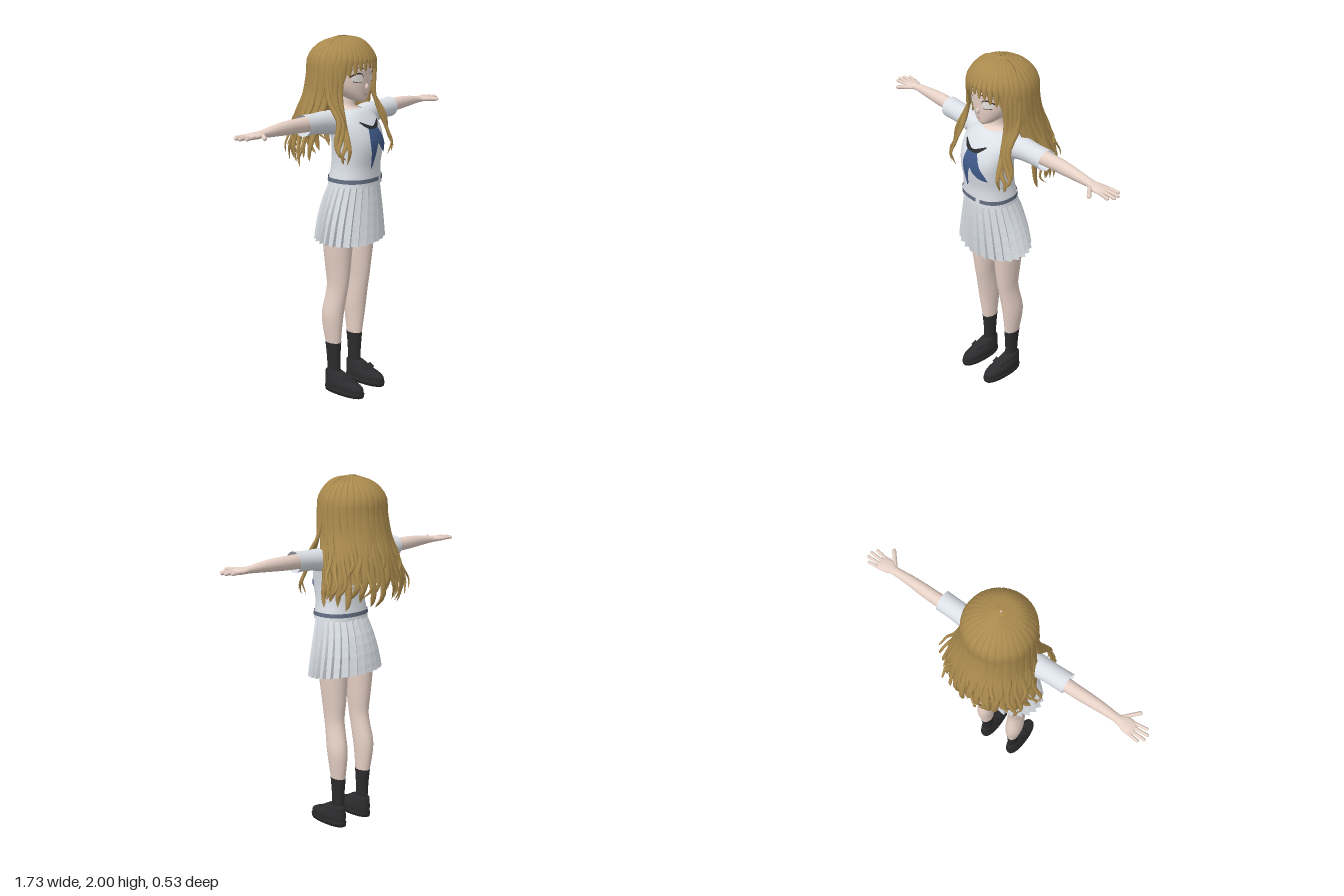
import * as THREE from 'three';
import { mergeGeometries } from 'three/addons/utils/BufferGeometryUtils.js';

const mat = (name, color, extra = {}) =>
  Object.assign(new THREE.MeshStandardMaterial({ color, side: THREE.DoubleSide, ...extra }), { name });
const V = (x, y, z) => new THREE.Vector3(x, y, z);

// Surface over a u/v grid; wrap closes it in u
function grid(nu, nv, f, wrap = false) {
  const pos = [], idx = [], cols = wrap ? nu : nu + 1;
  for (let j = 0; j <= nv; j++) for (let i = 0; i < cols; i++) pos.push(...f(i / nu, j / nv));
  for (let j = 0; j < nv; j++) for (let i = 0; i < nu; i++) {
    const i2 = (i + 1) % cols, a = j * cols + i, b = j * cols + i2;
    idx.push(a, b, b + cols, a, b + cols, a + cols);
  }
  const g = new THREE.BufferGeometry();
  g.setAttribute('position', new THREE.Float32BufferAttribute(pos, 3));
  g.setIndex(idx);
  g.computeVertexNormals();
  return g;
}

// Catmull-Rom through rows of numbers, t in 0..1
function sample(rows, t) {
  const n = rows.length - 1, i = Math.min(n - 1, Math.floor(t * n)), f = t * n - i;
  const at = k => rows[Math.max(0, Math.min(n, k))];
  const [a, b, c, d] = [at(i - 1), at(i), at(i + 1), at(i + 2)];
  return b.map((_, k) => b[k] + 0.5 * f * (c[k] - a[k] +
    f * (2 * a[k] - 5 * b[k] + 4 * c[k] - d[k] + f * (3 * (b[k] - c[k]) + d[k] - a[k]))));
}

// Loft through superellipse rows [y, halfWidth, zFront, zBack, xCentre]
function loft(rows, { steps = 4, p = 2, sides = 28, from = 0, to = Math.PI * 2 } = {}) {
  const bend = s => Math.sign(s) * Math.abs(s) ** (2 / p);
  return grid(sides, (rows.length - 1) * steps, (u, v) => {
    const [y, rx, zf, zb, cx = 0] = sample(rows, v), a = from + u * (to - from);
    return [cx + rx * bend(Math.sin(a)), y, (zf + zb) / 2 + (zf - zb) / 2 * bend(Math.cos(a))];
  }, to - from > 6.28);
}

// Front z of a loft at x, y
function frontZ(rows, p, x, y) {
  let lo = 0, hi = 1;
  for (let k = 0; k < 24; k++) { const m = (lo + hi) / 2; sample(rows, m)[0] < y ? lo = m : hi = m; }
  const [, rx, zf, zb] = sample(rows, lo);
  return (zf + zb) / 2 + (zf - zb) / 2 * Math.max(0, 1 - Math.abs(x / rx) ** p) ** (1 / p);
}

// Thin painted shape: rows of edge pairs [x1, y1, x2, y2] laid on a surface
const decal = (rows, zAt, lift) => grid(8, (rows.length - 1) * 4, (u, v) => {
  const [x1, y1, x2, y2] = sample(rows, v), x = x1 + (x2 - x1) * u, y = y1 + (y2 - y1) * u;
  return [x, y, zAt(x, y) + lift];
});

// Tapered flat lock of hair along points
function lock(points, width, thick, wave = 0, phase = 0) {
  const curve = new THREE.CatmullRomCurve3(points), n = 22;
  return grid(6, n, (u, v) => {
    const c = curve.getPoint(v), t = curve.getTangent(v);
    const s = V(c.x, 0.02, c.z - 0.02).normalize().cross(t).normalize(), o = t.clone().cross(s);
    const w = Math.min(1, 0.35 + v * 2.5) * Math.sqrt(Math.max(0, 1 - v ** 3)) + 0.01, a = u * Math.PI * 2;
    c.addScaledVector(s, wave * v * v * Math.sin(v * 13 + phase) + Math.cos(a) * width * w);
    return c.addScaledVector(o, wave * 0.6 * v * v * Math.cos(v * 11 + phase) + Math.sin(a) * thick * w).toArray();
  }, true);
}

function mirrored(g) {
  const m = g.clone().scale(-1, 1, 1), i = m.index.array;
  for (let k = 0; k < i.length; k += 3) [i[k], i[k + 1]] = [i[k + 1], i[k]];
  m.computeVertexNormals();
  return m;
}

export function createModel() {
  const M = {
    skin: mat('skin', 0xe9d3c8), hair: mat('golden hair', 0xab8b4e), shirt: mat('white cloth', 0xe0e5ec),
    skirt: mat('pale grey cloth', 0xd9dee4, { flatShading: true }), blue: mat('scarf blue', 0x3f5988),
    trim: mat('trim grey blue', 0x636e82), black: mat('black', 0x2c2c2e), eye: mat('eye white', 0xf3eeec),
    line: mat('dark brown', 0x4a352c), lips: mat('lip', 0xb57a72),
  };
  const root = new THREE.Group();
  const add = (name, g, m) => { const o = new THREE.Mesh(g, m); o.name = name; root.add(o); };
  const pair = (name, g, m) => { add(name + 'Left', g, m); add(name + 'Right', mirrored(g), m); };

  // Head, nose and neck
  const head = [[1.66, 0.012, 0.16, 0.12], [1.675, 0.045, 0.172, 0.07], [1.71, 0.083, 0.178, 0], [1.75, 0.108, 0.182, -0.05],
    [1.8, 0.122, 0.184, -0.08], [1.86, 0.126, 0.184, -0.09], [1.92, 0.11, 0.155, -0.08], [1.965, 0.06, 0.1, -0.04]];
  const faceZ = (x, y) => frontZ(head, 2.3, x, y);
  add('head', loft(head, { p: 2.3, sides: 36 }), M.skin);
  add('nose', new THREE.SphereGeometry(1, 12, 8).scale(0.009, 0.017, 0.012).translate(0, 1.742, 0.183), M.skin);
  add('neck', loft([[1.58, 0.1, 0.15, -0.01], [1.61, 0.085, 0.13, 0], [1.635, 0.045, 0.1, 0.012], [1.7, 0.04, 0.1, 0.015]]), M.skin);
  pair('ear', new THREE.SphereGeometry(1, 12, 8).scale(0.012, 0.03, 0.02).translate(0.122, 1.755, 0.04), M.skin);

  // Eyes, lashes, brows and mouth
  pair('eye', decal([[0.034, 1.785, 0.034, 1.79], [0.042, 1.772, 0.042, 1.81], [0.075, 1.772, 0.075, 1.813], [0.091, 1.785, 0.091, 1.797]], faceZ, 0.003), M.eye);
  pair('lash', decal([[0.029, 1.792, 0.03, 1.798], [0.045, 1.81, 0.045, 1.817], [0.075, 1.811, 0.075, 1.82], [0.097, 1.793, 0.099, 1.801]], faceZ, 0.005), M.line);
  pair('lowerLash', decal([[0.04, 1.77, 0.04, 1.773], [0.06, 1.767, 0.06, 1.77], [0.084, 1.772, 0.084, 1.776]], faceZ, 0.005), M.line);
  pair('brow', decal([[0.028, 1.836, 0.028, 1.84], [0.06, 1.845, 0.06, 1.85], [0.092, 1.834, 0.092, 1.837]], faceZ, 0.003), M.line);
  add('mouth', decal([[-0.016, 1.702, -0.016, 1.704], [0, 1.697, 0, 1.701], [0.016, 1.702, 0.016, 1.704]], faceZ, 0.003), M.lips);

  // Hair shell rows: [y, halfWidth, depth, zCentre, half opening angle]
  const shell = [[2, 0.005, 0.005, 0.03, 180], [1.985, 0.075, 0.075, 0.03, 180], [1.95, 0.13, 0.13, 0.025, 180], [1.9, 0.167, 0.167, 0.02, 180],
    [1.87, 0.178, 0.178, 0.02, 150], [1.8, 0.184, 0.18, 0.02, 135], [1.72, 0.188, 0.185, 0.01, 122], [1.64, 0.205, 0.192, -0.008, 100],
    [1.55, 0.225, 0.195, -0.035, 82], [1.46, 0.235, 0.185, -0.065, 74]];
  const onShell = (a, v, k = 1) => {
    const [y, rx, rz, cz] = sample(shell, v);
    return V(rx * k * Math.sin(a), y, cz + rz * k * Math.cos(a));
  };
  add('hairShell', grid(72, 36, (u, v) => {
    const t = 1 - v, half = Math.min(180, sample(shell, t)[4]) * Math.PI / 180, a = Math.PI + (2 * u - 1) * half;
    return onShell(a, t, 0.985 + 0.012 * Math.abs(Math.sin(a * 12))).toArray();
  }), M.hair);

  // Long back locks, then loose curled tips
  const back = [], curls = [], fringe = [], sides = [];
  for (let i = 0; i < 19; i++) {
    const p = (i - 9) * 0.205, a = Math.PI + p, low = 1.32 + 0.05 * ((i * 7) % 4) / 3;
    const pts = [0.04, 0.2, 0.38, 0.55, 0.7, 0.84, 0.95].map(v => onShell(a, v, 1.005));
    pts.push(V(0.25 * Math.sin(a), low + 0.07, -0.06 + 0.19 * Math.cos(a)), V(0.255 * Math.sin(a), low, -0.05 + 0.165 * Math.cos(a)));
    back.push(lock(pts, 0.029, 0.011, 0.012, i * 2));
  }
  for (let i = 0; i < 18; i++) {
    const p = (i - 8.5) * 0.2, a = Math.PI + p, low = 1.35 + 0.09 * ((i * 5) % 7) / 6, k = 1 + 0.08 * ((i * 3) % 4) / 3;
    curls.push(lock([onShell(a, 0.5), onShell(a, 0.7, 1.02), onShell(a, 0.85, 1.04),
      V(0.255 * k * Math.sin(a), low + 0.08, -0.06 + 0.18 * k * Math.cos(a)),
      V(0.275 * k * Math.sin(a), low, -0.06 + 0.18 * k * Math.cos(a))], 0.014, 0.008, 0.026, i * 1.7));
  }
  // Fringe and temple locks, longer towards the sides
  for (let i = 0; i < 17; i++) {
    const a = (i - 8) * 0.165, s = Math.abs(a) / 1.32, end = 0.5 + 0.24 * s * s + 0.015 * (i % 2);
    fringe.push(lock([0.03, 0.14, 0.26, 0.38, (0.38 + end) / 2, end].map((v, k) => onShell(a * (k > 3 ? 1.05 : 1), v, 1.02)), 0.021, 0.009));
  }
  // Front locks falling over the chest
  for (let i = 0; i < 4; i++) {
    const d = i * 0.014, a = 0.95 + i * 0.13;
    sides.push(lock([onShell(a, 0.15), onShell(a, 0.35, 1.02), onShell(a, 0.55, 1.02), V(0.155 + d, 1.68, 0.125 - d),
      V(0.16 + d, 1.57, 0.16), V(0.185 + d, 1.47, 0.205 - d), V(0.205 + d, 1.42, 0.215 - d), V(0.18 + d * 1.5, 1.35 + d, 0.2)],
    0.016, 0.009, 0.016, i * 1.9));
  }
  add('backHair', mergeGeometries(back), M.hair);
  add('hairCurls', mergeGeometries(curls), M.hair);
  add('fringe', mergeGeometries(fringe), M.hair);
  pair('frontLocks', mergeGeometries(sides), M.hair);

  // Shirt, sleeves and waist stripe
  const torso = [[1.215, 0.157, 0.24, -0.02], [1.25, 0.152, 0.238, -0.016], [1.32, 0.141, 0.237, -0.005], [1.4, 0.143, 0.25, 0],
    [1.46, 0.15, 0.248, 0], [1.52, 0.158, 0.225, -0.008], [1.57, 0.155, 0.19, -0.008], [1.605, 0.12, 0.158, 0], [1.62, 0.075, 0.128, 0.005]];
  const chestZ = (x, y) => frontZ(torso, 2.3, x, y);
  add('shirt', loft(torso, { p: 2.3, sides: 40 }), M.shirt);
  pair('sleeve', loft([[0.08, 0.062, 0.135, 0.01, -1.555], [0.15, 0.066, 0.13, 0, -1.56], [0.22, 0.06, 0.12, 0, -1.567],
    [0.3, 0.054, 0.118, 0.006, -1.572], [0.39, 0.056, 0.12, 0.006, -1.575]]).rotateZ(-Math.PI / 2), M.shirt);
  add('waistStripe', loft([[1.236, 0.157, 0.243, -0.022], [1.258, 0.155, 0.242, -0.02]],
    { p: 2.3, sides: 60, from: 0.36, to: 0.2 + Math.PI * 2, steps: 1 }), M.trim);

  // Neckerchief
  add('scarfTailRight', decal([[-0.035, 1.535, 0.03, 1.535], [-0.05, 1.46, 0.02, 1.465], [-0.042, 1.4, 0.002, 1.42], [-0.03, 1.31, -0.018, 1.33]], chestZ, 0.005), M.blue);
  add('scarfTailLeft', decal([[-0.015, 1.53, 0.04, 1.53], [0.01, 1.45, 0.075, 1.46], [0.05, 1.405, 0.098, 1.42], [0.09, 1.385, 0.112, 1.38]], chestZ, 0.008), M.blue);
  add('scarfLoop', decal([[-0.08, 1.56, -0.076, 1.566], [-0.045, 1.53, -0.04, 1.55], [0, 1.523, 0, 1.537], [0.045, 1.53, 0.04, 1.55], [0.08, 1.56, 0.076, 1.566]], chestZ, 0.009), M.black);

  // Pleated skirt with knife pleats, and hips inside
  const skirtRows = [[0, 0.24, 0.245, -0.09], [0.35, 0.213, 0.244, -0.08], [0.7, 0.18, 0.24, -0.055], [1, 0.151, 0.234, -0.017]];
  const pleats = 26;
  add('skirt', grid(pleats * 2, 6, (u, v) => {
    const k = Math.round(u * pleats * 2), [h, rx, zf, zb] = sample(skirtRows, v);
    const a = ((k >> 1) + (k % 2) * 0.82) / pleats * Math.PI * 2, r = k % 2 ? 1.01 : 1 - 0.09 * (1 - 0.75 * v);
    const hem = 0.905 - 0.015 * Math.cos(a);
    return [rx * r * Math.sin(a), hem + (1.228 - hem) * h, (zf + zb) / 2 + (zf - zb) / 2 * r * Math.cos(a)];
  }, true), M.skirt);
  add('hips', loft([[0.95, 0.02, 0.1, 0.04], [0.98, 0.13, 0.17, -0.02], [1.08, 0.15, 0.18, -0.02], [1.2, 0.13, 0.19, 0]]), M.shirt);

  // Arms and hands
  pair('arm', loft([[0.25, 0.042, 0.1, 0.02, -1.575], [0.42, 0.038, 0.088, 0.018, -1.578], [0.5, 0.036, 0.087, 0.02, -1.58], [0.6, 0.029, 0.083, 0.027, -1.58],
    [0.69, 0.019, 0.078, 0.03, -1.577], [0.73, 0.017, 0.094, 0.018, -1.577], [0.775, 0.014, 0.092, 0.01, -1.577], [0.795, 0.004, 0.08, 0.02, -1.577]]).rotateZ(-Math.PI / 2), M.skin);
  const finger = (x, z, len, turn, r = 0.0088) => new THREE.CapsuleGeometry(r, len, 4, 8)
    .rotateZ(-Math.PI / 2).translate(len / 2, 0, 0).rotateY(turn).translate(x, 1.578, z);
  pair('fingers', mergeGeometries([finger(0.77, 0.02, 0.062, 0.1), finger(0.775, 0.04, 0.08, 0.02), finger(0.775, 0.062, 0.082, -0.05),
    finger(0.77, 0.083, 0.068, -0.14), finger(0.71, 0.08, 0.085, -0.83, 0.011)]), M.skin);

  // Legs, socks and shoes
  pair('leg', loft([[0.28, 0.033, 0.084, -0.01, 0.1], [0.4, 0.045, 0.097, -0.028, 0.105], [0.48, 0.05, 0.107, -0.028, 0.105], [0.58, 0.047, 0.123, -0.008, 0.1],
    [0.65, 0.048, 0.135, 0, 0.098], [0.75, 0.058, 0.146, -0.01, 0.098], [0.9, 0.072, 0.16, -0.02, 0.101], [1.0, 0.075, 0.165, -0.02, 0.1]]), M.skin);
  pair('sock', loft([[0.08, 0.028, 0.085, 0.0, 0.098], [0.15, 0.028, 0.08, -0.002, 0.098], [0.22, 0.031, 0.082, -0.006, 0.099], [0.295, 0.036, 0.087, -0.014, 0.1]]), M.black);
  pair('shoe', loft([[0.018, 0.045, 0.243, -0.012, 0.1], [0.05, 0.048, 0.243, -0.014, 0.1], [0.07, 0.045, 0.212, -0.014, 0.1],
    [0.088, 0.039, 0.165, -0.013, 0.1], [0.115, 0.033, 0.11, -0.012, 0.1], [0.125, 0.026, 0.085, 0, 0.1]], { p: 2.2 }), M.black);
  pair('sole', loft([[0, 0, 0.11, 0.11, 0.1], [0, 0.047, 0.245, -0.013, 0.1], [0.022, 0.051, 0.25, -0.016, 0.1], [0.026, 0.046, 0.245, -0.013, 0.1]], { steps: 1, p: 2.3 }), M.black);
  pair('shoeStrap', new THREE.BoxGeometry(0.068, 0.012, 0.035).rotateX(0.5).translate(0.1, 0.095, 0.14), M.black);
  return root;
}
